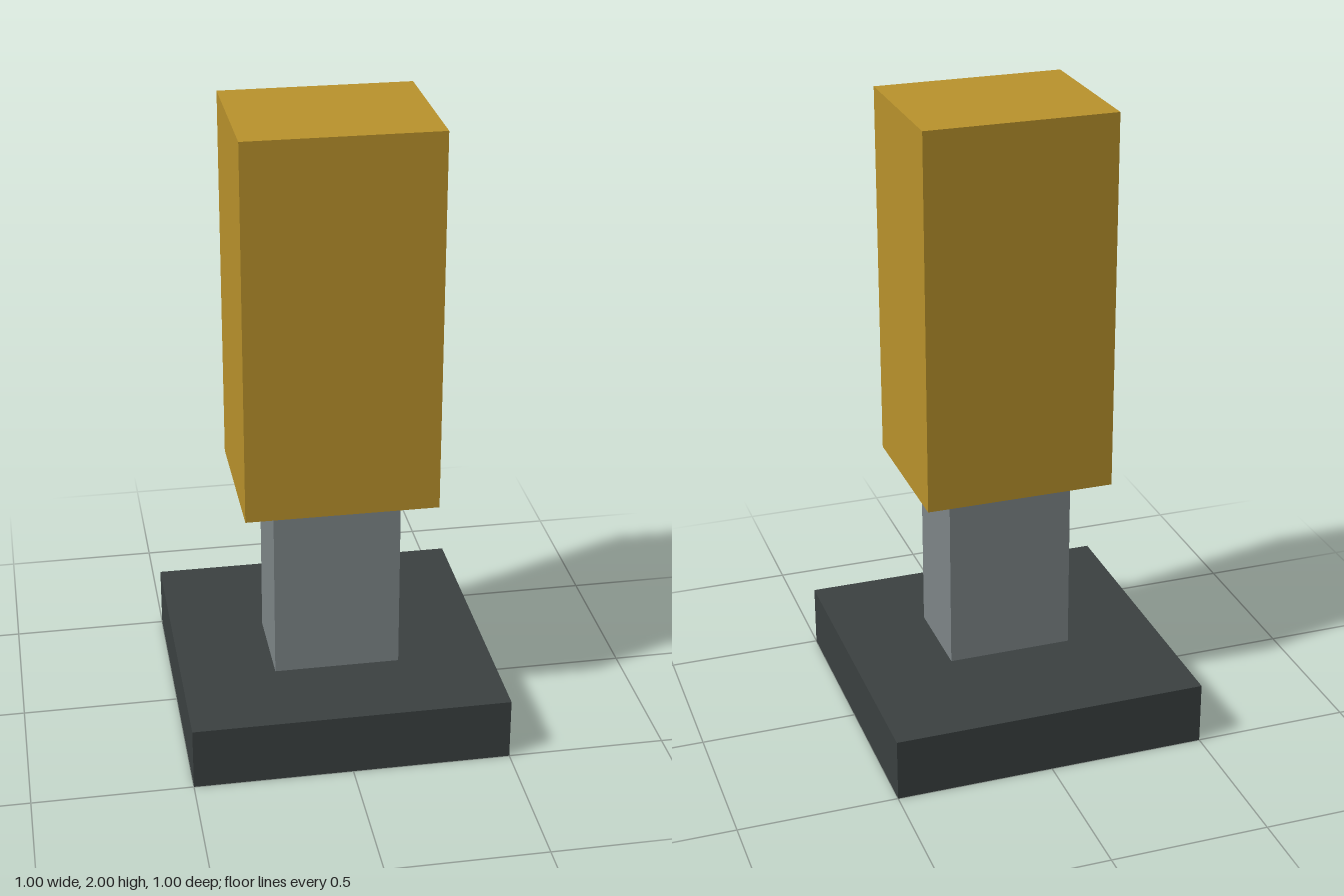
import * as THREE from 'three';

function material(name, color) {
  const m = new THREE.MeshStandardMaterial({ color });
  m.name = name;
  return m;
}

export function createModel() {
  const group = new THREE.Group();
  group.name = 'pedestalBlock';

  const darkGrey = material('dark grey', 0x3b4141);
  const steelGrey = material('steel grey', 0x7e8688);
  const gold = material('gold', 0xba932c);

  // A box standing on height y, centred on x, with its depth centre at z
  function addBox(name, [w, h, d], y, z, mat) {
    const mesh = new THREE.Mesh(new THREE.BoxGeometry(w, h, d), mat);
    mesh.name = name;
    mesh.position.set(0, y + h / 2, z);
    group.add(mesh);
  }

  // Square foot plate
  addBox('base', [1, 0.2, 1], 0, 0, darkGrey);
  // Post and upper block sit slightly forward of the base centre
  addBox('post', [0.4, 0.6, 0.3], 0.2, 0.05, steelGrey);
  addBox('upperBlock', [0.6, 1.2, 0.5], 0.8, 0.05, gold);

  return group;
}
